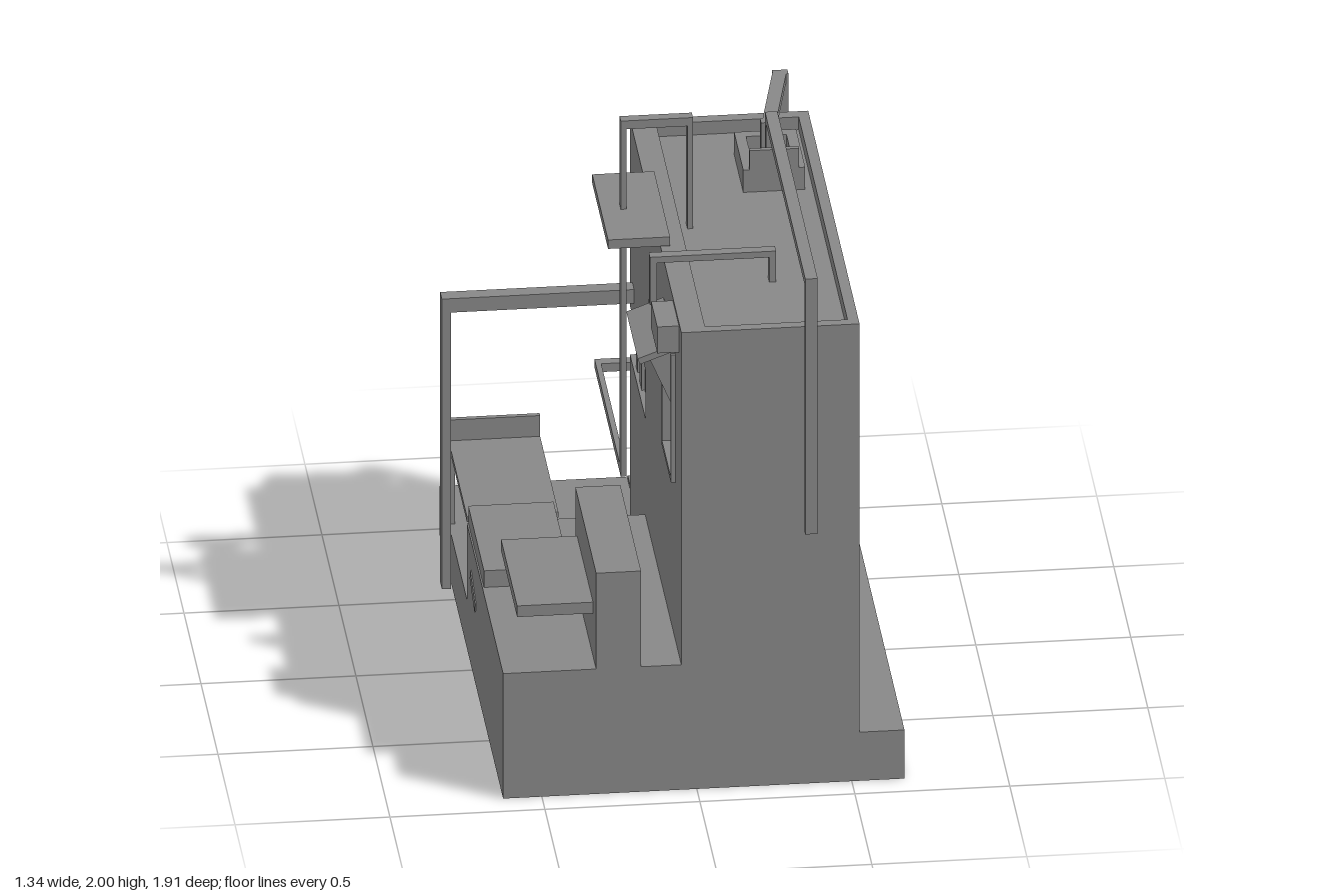
import * as THREE from 'three';

export function createModel() {
  const root = new THREE.Group();
  const mat = new THREE.MeshStandardMaterial({ color: 0x888888, flatShading: true });

  const add = (name, geo, parent = root) => {
    const m = new THREE.Mesh(geo, mat);
    m.name = name;
    parent.add(m);
    return m;
  };
  // Box given by its extents
  const box = (name, x0, x1, y0, y1, z0, z1, parent = root) => {
    const m = add(name, new THREE.BoxGeometry(x1 - x0, y1 - y0, z1 - z0), parent);
    m.position.set((x0 + x1) / 2, (y0 + y1) / 2, (z0 + z1) / 2);
    return m;
  };
  // Square duct along axis-aligned points, t = thickness on each axis
  const duct = (name, pts, t) => {
    const g = new THREE.Group();
    g.name = name;
    for (let i = 1; i < pts.length; i++) {
      const lo = pts[i].map((v, k) => Math.min(v, pts[i - 1][k]) - t[k] / 2);
      const hi = pts[i].map((v, k) => Math.max(v, pts[i - 1][k]) + t[k] / 2);
      box(name + 'Run', lo[0], hi[0], lo[1], hi[1], lo[2], hi[2], g);
    }
    root.add(g);
  };
  // Straight bar between any two points
  const beam = (name, a, b, w, h) => {
    const p = new THREE.Vector3(...a), q = new THREE.Vector3(...b);
    const m = add(name, new THREE.BoxGeometry(w, h, p.distanceTo(q)));
    m.position.copy(p).add(q).multiplyScalar(0.5);
    m.lookAt(q);
  };
  const poly = pts => new THREE.Shape(pts.map(p => new THREE.Vector2(...p)));
  const rect = (x0, x1, y0, y1) => poly([[x0, y0], [x1, y0], [x1, y1], [x0, y1]]);
  const extrude = (shape, depth, holes = []) => {
    shape.holes.push(...holes);
    return new THREE.ExtrudeGeometry(shape, { depth, bevelEnabled: false });
  };

  // Ground slab, side step and doormat
  box('groundSlab', -0.625, 0.67, 0, 0.175, -0.96, 0.91);
  box('sideStep', -0.625, -0.05, 0.175, 0.45, -0.155, 0.91);
  box('doormat', -0.02, 0.5, 0.175, 0.19, -0.94, -0.62);

  // Tower: side profile with a slot through the back, extruded across x
  const profile = () => poly([
    [-0.91, 0.175], [0.52, 0.175], [0.52, 0.8], [0.15, 0.8],
    [0.15, 0.975], [0.52, 0.975], [0.52, 1.6], [-0.91, 1.6]]);
  const core = add('towerCore', extrude(profile(), 0.515));
  core.rotation.y = Math.PI / 2;
  core.position.x = 0.01;
  const sideWall = add('sideWall', extrude(profile(), 0.06, [rect(-0.74, -0.46, 1.02, 1.48)]));
  sideWall.rotation.y = Math.PI / 2;
  sideWall.position.x = -0.05;
  add('upperBackWall', extrude(rect(-0.05, 0.525, 0.975, 1.6), 0.08,
    [rect(0.01, 0.35, 1.03, 1.55)])).position.z = -0.6;
  add('lowerBackWall', extrude(rect(-0.05, 0.525, 0.175, 0.8), 0.08,
    [rect(0.02, 0.46, 0.22, 0.69)])).position.z = -0.6;

  // Roof parapet
  const parapet = add('parapet', extrude(rect(-0.05, 0.525, -0.91, 0.6), 0.046,
    [rect(0.03, 0.49, -0.875, 0.56)]));
  parapet.rotation.x = -Math.PI / 2;
  parapet.position.y = 1.6;

  // Window frames and awnings, built facing +z and then turned to their wall
  const frame = (name, x, y, z, turn, w, h, depth, proud) => {
    const b = 0.018;
    const m = add(name, extrude(rect(-w / 2, w / 2, 0, h), depth + proud,
      [rect(b - w / 2, w / 2 - b, b, h - b)]).translate(0, 0, -depth));
    m.position.set(x, y, z);
    m.rotation.y = turn;
  };
  const awning = (name, x, y, z, turn, w, reach, drop, legDrop) => {
    const g = new THREE.Group();
    g.name = name;
    const slab = add('awningSlab', new THREE.BoxGeometry(w, 0.022, Math.hypot(reach, drop)), g);
    slab.position.set(0, -drop / 2, reach / 2);
    slab.rotation.x = Math.atan2(drop, reach);
    for (const s of [-1, 1]) {
      const leg = add('awningBracket', extrude(
        poly([[0, 0], [0, -legDrop], [-reach * 0.75, -drop * 0.75]]), 0.018), g);
      leg.rotation.y = Math.PI / 2;
      leg.position.x = s * (w / 2 - 0.035) - 0.009;
    }
    g.position.set(x, y, z);
    g.rotation.y = turn;
    root.add(g);
  };
  frame('upperBackFrame', 0.18, 1.03, -0.6, Math.PI, 0.34, 0.52, 0.08, 0.003);
  frame('lowerBackFrame', 0.24, 0.22, -0.6, Math.PI, 0.44, 0.47, 0.08, 0.003);
  frame('sideFrame', -0.05, 1.02, 0.6, -Math.PI / 2, 0.28, 0.46, 0.06, 0.015);
  awning('backAwning', 0.18, 1.625, -0.6, Math.PI, 0.39, 0.11, 0.05, 0.255);
  awning('sideAwning', -0.05, 1.515, 0.588, -Math.PI / 2, 0.335, 0.12, 0.045, 0.245);

  // Bench, its backrest and the low slab on the step
  box('benchBack', -0.325, -0.18, 0.45, 0.795, 0.3, 0.91);
  box('benchSeat', -0.57, -0.325, 0.605, 0.645, 0.35, 0.82);
  box('stepSlab', -0.62, -0.345, 0.45, 0.51, -0.16, 0.3);

  // Small deck on posts behind the step
  box('deck', -0.625, -0.33, 0.455, 0.475, -0.69, -0.155);
  box('deckPanel', -0.625, -0.33, 0.45, 0.55, -0.707, -0.69);
  for (const x of [-0.625, -0.35]) box('deckPost', x, x + 0.02, 0.175, 0.45, -0.707, -0.69);

  // Ducts
  duct('tallDuct', [[0.365, 0.935, 0.94], [0.365, 1.825, 0.94],
    [0.365, 1.825, -0.215], [0.365, 1.6, -0.215]], [0.04, 0.03, 0.03]);
  duct('sideDuct', [[-0.06, 1.07, -0.505], [-0.655, 1.07, -0.505],
    [-0.655, 0.075, -0.505]], [0.03, 0.05, 0.05]);
  duct('archDuct', [[0.2, 0.735, -0.6], [0.2, 0.735, -0.66], [-0.147, 0.735, -0.66],
    [-0.147, 0.735, 0.078], [-0.147, 1.985, 0.078], [0.068, 1.985, 0.078],
    [0.068, 1.6, 0.078]], [0.018, 0.03, 0.035]);
  duct('smallDuct', [[-0.095, 1.55, 0.48], [-0.095, 1.7, 0.48], [0.29, 1.7, 0.48],
    [0.29, 1.6, 0.48]], [0.022, 0.022, 0.035]);

  // Bent pipe from the roof unit down into the slot
  box('bentPipeStart', 0.34, 0.39, 1.6, 1.765, -0.33, -0.3);
  beam('bentPipeTop', [0.365, 1.75, -0.3], [0.44, 1.75, -0.66], 0.045, 0.03);
  box('bentPipeDrop', 0.415, 0.465, 0.885, 1.765, -0.665, -0.635);
  beam('bentPipeEnd', [0.437, 0.895, -0.65], [0.25, 0.895, -0.41], 0.04, 0.02);

  // Open roof unit, its plate and the ledge beside the roof
  const unit = add('roofUnit', extrude(rect(0.265, 0.465, 0.14, 0.41), 0.08,
    [rect(0.3, 0.43, 0.27, 0.375)]));
  unit.rotation.x = -Math.PI / 2;
  unit.position.y = 1.6;
  box('roofUnitPlate', 0.285, 0.445, 1.68, 1.75, -0.155, -0.138);
  box('sideLedge', -0.22, -0.02, 1.65, 1.682, -0.16, 0.305);

  // Wall fittings
  box('wallUnit', -0.12, -0.05, 1.54, 1.635, 0.66, 0.84);
  const lamp = box('backLamp', 0.32, 0.45, 0.7, 0.79, -0.655, -0.6);
  lamp.rotation.x = 0.25;
  beam('slantBar', [-0.055, 1.18, -0.02], [-0.055, 1.41, 0.17], 0.025, 0.03);
  beam('stepPeg', [-0.614, 0.33, -0.03], [-0.614, 0.28, 0.11], 0.03, 0.04);

  // Fittings inside the slot
  box('slotColumn', -0.04, 0.02, 0.8, 0.975, -0.52, -0.47);
  box('slotUnitFront', -0.03, 0.06, 0.8, 0.94, -0.345, -0.28);
  box('slotUnitMiddle', -0.04, 0.07, 0.8, 0.955, -0.41, -0.345);
  box('slotUnitBack', -0.03, 0.06, 0.8, 0.94, -0.46, -0.41);
  return root;
}
